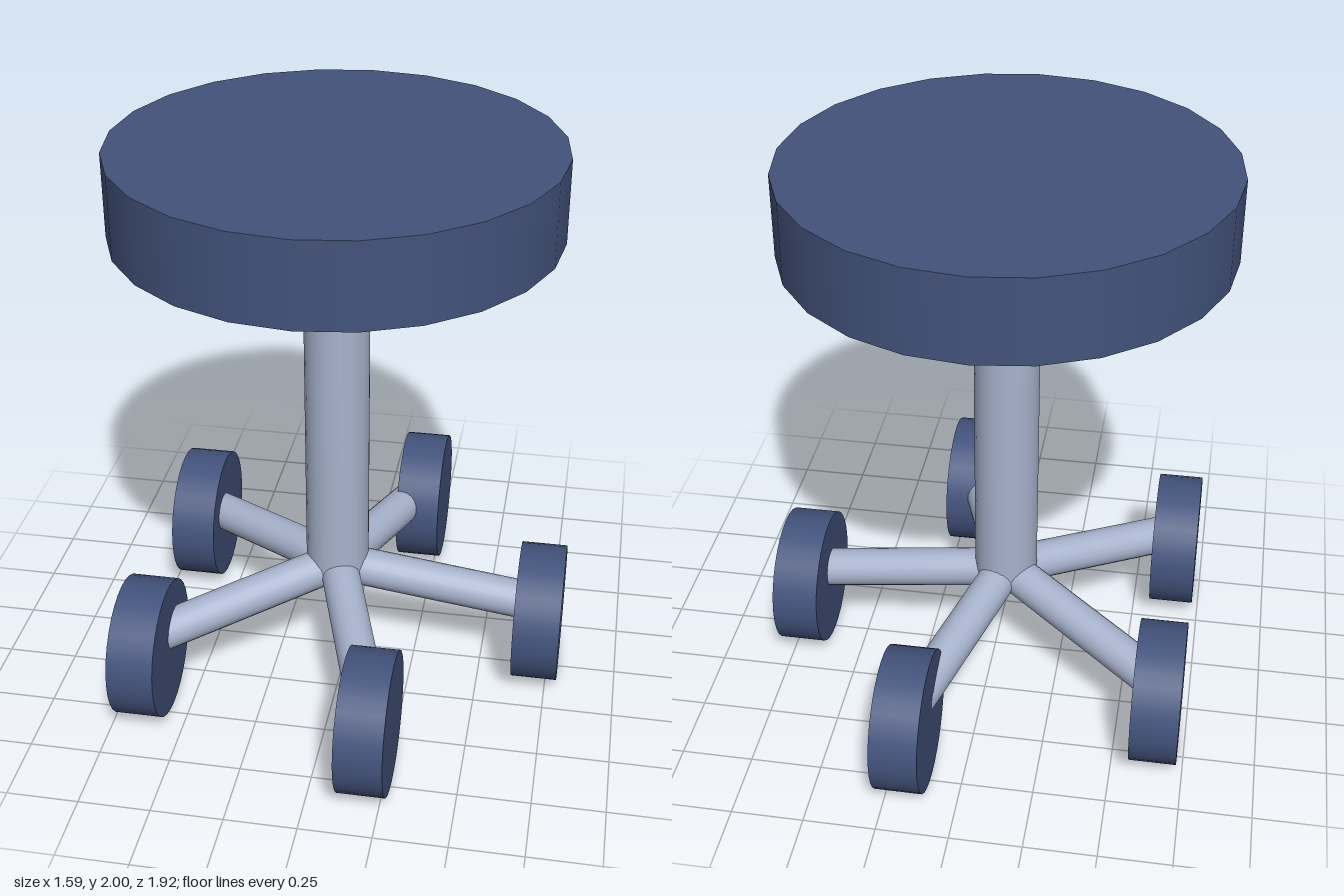
import * as THREE from 'three';

const CENTRE_X = -0.04;

export function createModel() {
  const group = new THREE.Group();
  const navy = new THREE.MeshStandardMaterial({ color: 0x43537c });
  const steel = new THREE.MeshStandardMaterial({ color: 0xa8b3cd });

  // Cylinder running between two points
  function rod(name, from, to, radius, sides, material) {
    const dir = to.clone().sub(from);
    const mesh = new THREE.Mesh(
      new THREE.CylinderGeometry(radius, radius, dir.length(), sides), material);
    mesh.name = name;
    mesh.position.copy(from).add(to).multiplyScalar(0.5);
    mesh.quaternion.setFromUnitVectors(new THREE.Vector3(0, 1, 0), dir.normalize());
    group.add(mesh);
  }
  const at = (x, y, z) => new THREE.Vector3(CENTRE_X + x, y, z);

  // Round seat and central column
  rod('seat', at(0, 1.71, 0), at(0, 2, 0), 0.755, 24, navy);
  rod('column', at(0, 0.378, 0), at(0, 1.72, 0), 0.114, 24, steel);

  // Five sloping legs, each ending in a wheel; all wheels roll along z
  for (let i = 0; i < 5; i++) {
    const a = (i * Math.PI * 2) / 5;
    const x = 0.75 * Math.cos(a);
    const z = 0.75 * Math.sin(a);
    rod('leg' + (i + 1), at(0, 0.378, 0), at(x, 0.28, z), 0.07, 20, steel);
    rod('wheel' + (i + 1), at(x - 0.082, 0.246, z), at(x + 0.082, 0.246, z), 0.246, 32, navy);
  }
  return group;
}
